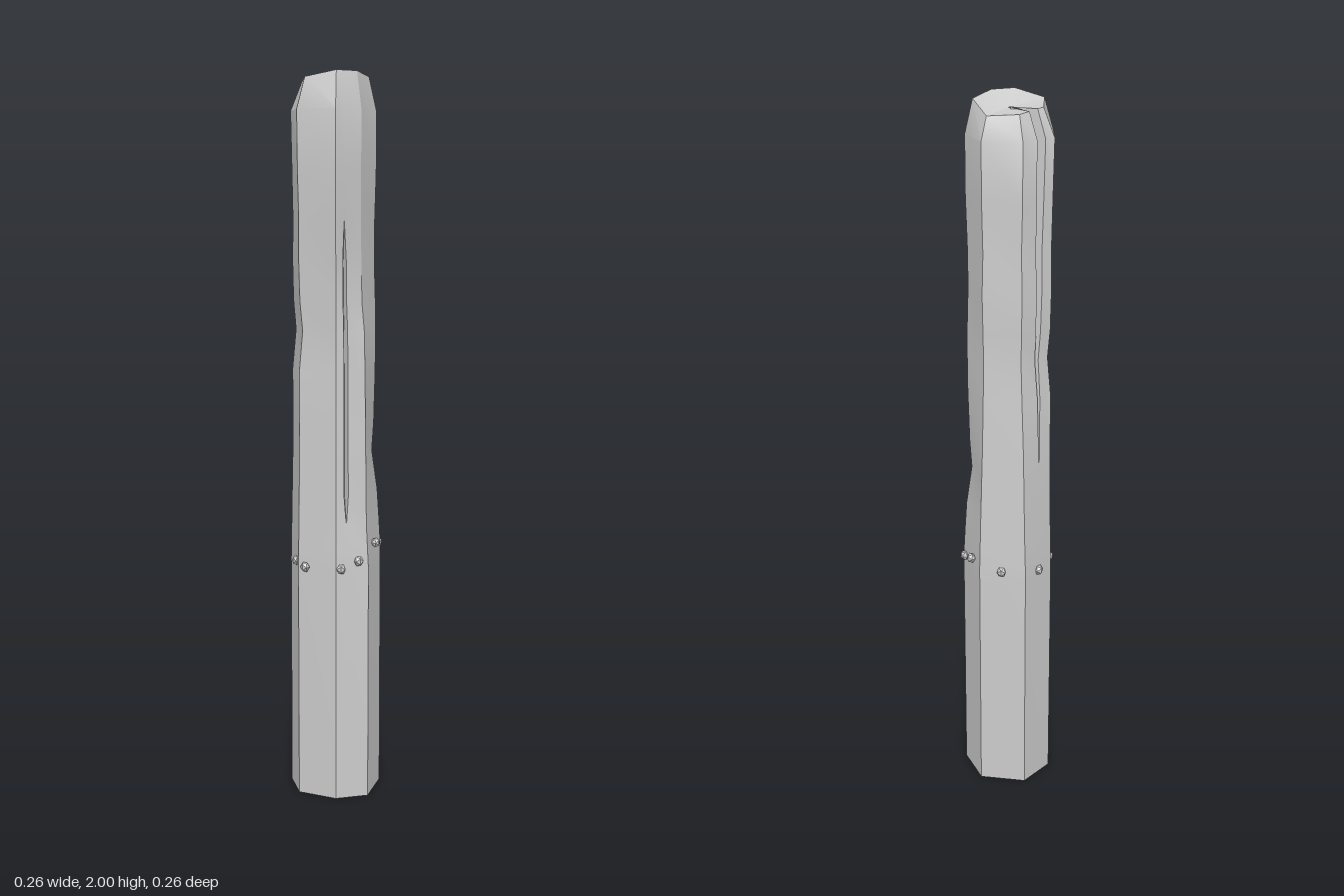
import * as THREE from 'three';
import { toCreasedNormals } from 'three/addons/utils/BufferGeometryUtils.js';

// Piecewise-linear lookup in [[key, value], ...]
function sample(keys, y) {
  if (y <= keys[0][0]) return keys[0][1];
  for (let i = 1; i < keys.length; i++) {
    const [y0, v0] = keys[i - 1], [y1, v1] = keys[i];
    if (y <= y1) return v0 + (v1 - v0) * (y - y0) / (y1 - y0);
  }
  return keys[keys.length - 1][1];
}

// Seven worn corners: foot position, height of the broken tip, radius scale up the post
const corners = [
  { x: 0.122, z: 0.0, tip: 1.99, wear: [[0.7, 1], [0.85, 0.93], [0.97, 0.79], [1.1, 0.86], [1.35, 0.87], [1.55, 0.82], [1.7, 0.87], [1.9, 0.87], [2, 0.7]] },
  { x: 0.063, z: 0.115, tip: 2.0, wear: [[0.66, 1], [0.78, 0.93], [1.3, 0.86], [1.38, 0.77], [1.6, 0.73], [1.9, 0.74], [2, 0.6]] },
  { x: -0.03, z: 0.122, tip: 2.0, wear: [[0.66, 1], [0.8, 0.95], [1.2, 0.9], [1.4, 0.9], [1.5, 0.98], [1.62, 1.06], [1.9, 1.06], [2, 0.75]] },
  { x: -0.126, z: 0.055, tip: 1.985, wear: [[0.65, 0.97], [1.0, 0.93], [1.2, 0.93], [1.32, 0.84], [1.42, 0.94], [1.62, 0.93], [1.75, 0.96], [1.9, 0.97], [2, 0.78]] },
  { x: -0.13, z: -0.05, tip: 1.975, wear: [[0.65, 0.97], [1.0, 0.92], [1.2, 0.92], [1.32, 0.84], [1.42, 0.92], [1.62, 0.9], [1.9, 0.94], [2, 0.72]] },
  { x: -0.052, z: -0.132, tip: 1.965, wear: [[0.7, 1], [0.8, 0.95], [1.05, 0.87], [1.3, 0.73], [1.5, 0.77], [1.65, 0.72], [1.75, 0.78], [1.9, 0.78], [2, 0.62]] },
  { x: 0.076, z: -0.11, tip: 1.96, wear: [[0.7, 1], [0.9, 0.93], [1.05, 0.87], [1.3, 0.8], [1.5, 0.84], [1.65, 0.79], [1.75, 0.84], [1.9, 0.84], [2, 0.66]] },
];

// Splits cut into the flat between two corners: edge index, middle, half width and depth by height
const cracks = {
  1: { mid: 0.66, width: [[0.78, 0.005], [0.86, 0.07], [1.5, 0.07], [1.6, 0.005]], depth: [[0.78, 0], [0.86, 0.2], [1.5, 0.2], [1.6, 0]] },
  4: { mid: 0.42, width: [[1.0, 0.005], [1.4, 0.08], [1.9, 0.13], [2, 0.17]], depth: [[1.02, 0], [1.4, 0.4], [1.85, 0.75], [2, 0.85]] },
};

// One cross-section of the post
function section(y) {
  const worn = corners.map((c) => {
    const s = sample(c.wear, y);
    return new THREE.Vector3(c.x * s, y >= 2 ? c.tip : y, c.z * s);
  });
  const points = [];
  worn.forEach((p, i) => {
    points.push(p);
    const crack = cracks[i];
    if (!crack) return;
    const next = worn[(i + 1) % worn.length];
    const w = sample(crack.width, y);
    const inner = p.clone().lerp(next, crack.mid);
    const keep = 1 - sample(crack.depth, y);
    inner.x *= keep;
    inner.z *= keep;
    points.push(p.clone().lerp(next, crack.mid - w), inner, p.clone().lerp(next, crack.mid + w));
  });
  return points;
}

function postGeometry() {
  const levels = [0, 0.66, 0.71, 0.78, 0.86, 0.97, 1.05, 1.2, 1.31, 1.39, 1.5, 1.61, 1.74, 1.9, 2];
  const rings = levels.map(section);
  const n = rings[0].length;
  const verts = [];
  const tri = (...pts) => pts.forEach((p) => verts.push(p.x, p.y, p.z));
  const foot = new THREE.Vector3(0, 0, 0);
  const crown = new THREE.Vector3(-0.005, 1.965, 0.008);
  for (let i = 0; i < n; i++) {
    const j = (i + 1) % n;
    for (let k = 0; k < rings.length - 1; k++) {
      const a = rings[k][i], b = rings[k][j], c = rings[k + 1][j], d = rings[k + 1][i];
      tri(a, d, c);
      tri(a, c, b);
    }
    tri(foot, rings[0][i], rings[0][j]);
    tri(crown, rings[rings.length - 1][j], rings[rings.length - 1][i]);
  }
  const geometry = new THREE.BufferGeometry();
  geometry.setAttribute('position', new THREE.Float32BufferAttribute(verts, 3));
  return toCreasedNormals(geometry, 0.35);
}

export function createModel() {
  const model = new THREE.Group();
  model.name = 'weatheredPost';
  const material = new THREE.MeshStandardMaterial({ color: 0xcccccc });
  material.name = 'pale grey';

  // Broken, split post
  const post = new THREE.Mesh(postGeometry(), material);
  post.name = 'post';
  model.add(post);

  // Ring of small nail heads
  const studs = new THREE.Group();
  studs.name = 'studs';
  const places = [
    [0.015, 0.7, -0.121], [0.1, 0.72, -0.073], [0.119, 0.7, -0.018], [0.093, 0.72, 0.07],
    [0.035, 0.68, 0.117], [-0.015, 0.66, 0.119], [-0.107, 0.66, 0.073], [-0.124, 0.67, 0.03], [-0.09, 0.69, -0.09],
  ];
  const studGeometry = toCreasedNormals(new THREE.IcosahedronGeometry(0.014, 0), 0.3);
  for (const [x, y, z] of places) {
    const stud = new THREE.Mesh(studGeometry, material);
    stud.name = 'stud';
    stud.position.set(x, y, z);
    stud.rotation.y = Math.atan2(x, z);
    stud.scale.set(1, 1.1, 0.9);
    studs.add(stud);
  }
  model.add(studs);
  return model;
}
